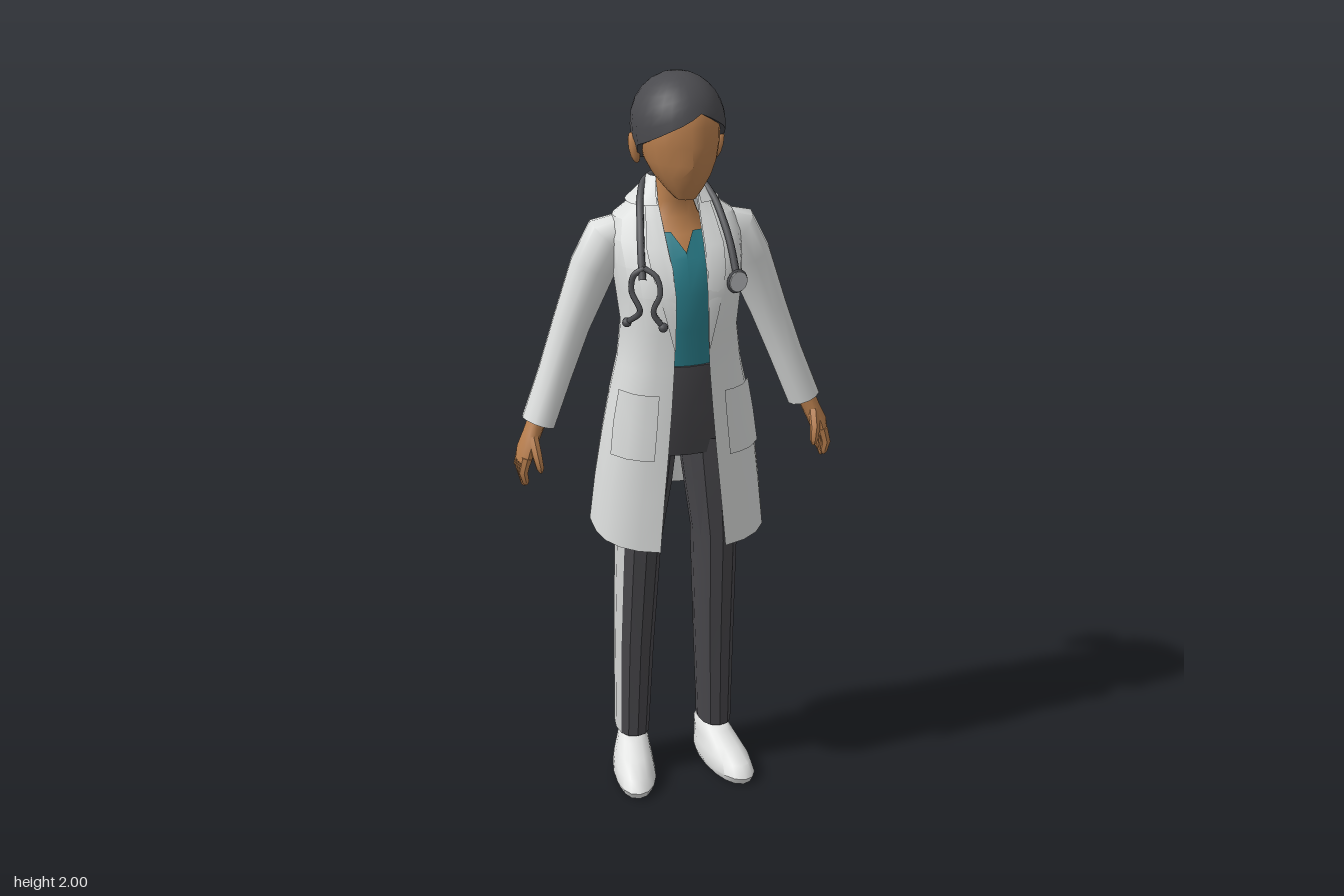
import * as THREE from 'three';
import { toCreasedNormals } from 'three/addons/utils/BufferGeometryUtils.js';

const V = (x, y, z) => new THREE.Vector3(x, y, z);
const mat = (name, color, side = THREE.FrontSide) => {
  const m = new THREE.MeshStandardMaterial({ color, side });
  m.name = name;
  return m;
};

// Skin a stack of cross-sections, listed bottom to top
function loft(rows, { closed = true, caps = closed, crease = 0.6 } = {}) {
  const n = rows[0].length, pos = [], idx = [];
  rows.forEach(r => r.forEach(p => pos.push(p.x, p.y, p.z)));
  const cols = closed ? n : n - 1;
  for (let i = 0; i < rows.length - 1; i++) {
    for (let j = 0; j < cols; j++) {
      const a = i * n + j, b = i * n + (j + 1) % n;
      idx.push(a, b, b + n, a, b + n, a + n);
    }
  }
  if (caps) [0, rows.length - 1].forEach((i, top) => {
    const c = rows[i].reduce((s, p) => s.add(p), V(0, 0, 0)).divideScalar(n);
    const k = pos.length / 3;
    pos.push(c.x, c.y, c.z);
    for (let j = 0; j < n; j++) {
      const a = i * n + j, b = i * n + (j + 1) % n;
      top ? idx.push(a, b, k) : idx.push(b, a, k);
    }
  });
  const g = new THREE.BufferGeometry();
  g.setAttribute('position', new THREE.Float32BufferAttribute(pos, 3));
  g.setIndex(idx);
  return toCreasedNormals(g, crease);
}

// Horizontal rounded section; angle 0 is the front, then round by the left
const pw = (v, p) => Math.sign(v) * Math.abs(v) ** p;
function ringPoint([y, w, zf, zb, cx = 0], a, p = 1) {
  return V(cx + w * pw(Math.sin(a), p), y, (zf + zb) / 2 + (zf - zb) / 2 * pw(Math.cos(a), p));
}
const ring = (row, n, p) => Array.from({ length: n }, (_, j) => ringPoint(row, j / n * Math.PI * 2, p));
const rings = (rows, n, p) => rows.map(r => ring(r, n, p));

// Tapered limb through stations [x, y, z, radiusSide, radiusFront], top to bottom
function limb(st, n = 10) {
  const pts = st.map(s => V(s[0], s[1], s[2]));
  const rows = st.map((s, i) => {
    const u = pts[Math.max(i - 1, 0)].clone().sub(pts[Math.min(i + 1, st.length - 1)]).normalize();
    const side = V(u.y, -u.x, 0).normalize(), front = side.clone().cross(u);
    return Array.from({ length: n }, (_, j) => {
      const a = j / n * Math.PI * 2;
      return pts[i].clone().addScaledVector(side, s[3] * Math.sin(a)).addScaledVector(front, (s[4] ?? s[3]) * Math.cos(a));
    });
  });
  return loft(rows.reverse(), { crease: 0.9 });
}

// Mirror a triangle-soup geometry across x = 0, keeping faces outward
function mirror(geo) {
  const g = geo.clone();
  for (const name of ['position', 'normal']) {
    const t = g.attributes[name], src = geo.attributes[name];
    for (let i = 0; i < t.count; i++) {
      const k = i - i % 3 + [0, 2, 1][i % 3];
      t.setXYZ(i, -src.getX(k), src.getY(k), src.getZ(k));
    }
  }
  return g;
}

// Coat sections: height, half width, front z, back z, half opening
const COAT = [
  [0.74, 0.235, 0.19, -0.165, 0.09], [0.88, 0.222, 0.183, -0.15, 0.078], [1.02, 0.205, 0.178, -0.13, 0.065],
  [1.14, 0.185, 0.174, -0.113, 0.055], [1.24, 0.163, 0.17, -0.104, 0.048], [1.34, 0.152, 0.168, -0.1, 0.044],
  [1.44, 0.165, 0.17, -0.112, 0.042], [1.51, 0.172, 0.145, -0.118, 0.044], [1.57, 0.175, 0.1, -0.117, 0.048],
  [1.62, 0.16, 0.06, -0.11, 0.05], [1.655, 0.11, 0.035, -0.098, 0.052], [1.69, 0.075, 0.015, -0.085, 0.05],
  [1.72, 0.062, -0.005, -0.072, 0.048],
];
const CP = 0.8;
function coatRow(y) {
  let i = 0;
  while (i < COAT.length - 2 && y > COAT[i + 1][0]) i++;
  const t = (y - COAT[i][0]) / (COAT[i + 1][0] - COAT[i][0]);
  return COAT[i].map((v, k) => v + (COAT[i + 1][k] - v) * t);
}
function coatAt(y, a, off = 0) {
  const [, w, zf, zb] = coatRow(y);
  const p = ringPoint([y, w + off, zf + off, zb - off], a, CP);
  p.y += 0.055 * Math.max(0, 1 - (y - 0.74) / 0.3) * (1 - Math.cos(a)) / 2;
  return p;
}
const frontAngle = (y, x) => Math.asin(Math.min(1, x / coatRow(y)[1]) ** (1 / CP));
const onCoat = (x, y, off) => {
  const p = coatAt(y, frontAngle(y, Math.abs(x)), off);
  p.x *= Math.sign(x);
  return p;
};
// Cloth patch lying on the left coat front: rows of [y, x inner, x outer]
const patch = (rows, off) => loft(rows.map(([y, x1, x2]) =>
  [0, 0.33, 0.67, 1].map(t => onCoat(x1 + (x2 - x1) * t, y, off))), { closed: false });

export function createModel() {
  const model = new THREE.Group();
  model.name = 'doctor';
  const M = {
    coat: mat('coat white', 0xdcdedd, THREE.DoubleSide),
    shirt: mat('shirt teal', 0x2b7f8c),
    pants: mat('trouser charcoal', 0x48474b),
    stripe: mat('stripe grey', 0xd2d3d2),
    shoe: mat('shoe white', 0xe2e3e2),
    skin: mat('skin', 0xb97f4e),
    hair: mat('hair', 0x4a4a4e),
    tube: mat('stethoscope tube', 0x505155),
    metal: mat('stethoscope metal', 0xc4c6c8),
  };
  const add = (name, geo, m) => {
    const mesh = new THREE.Mesh(geo, m);
    mesh.name = name;
    model.add(mesh);
    return mesh;
  };
  const pair = (name, geo, m) => {
    add(name + 'Left', geo, m);
    add(name + 'Right', mirror(geo), m);
  };

  // Head with a small nose ridge, ears, neck and upper chest
  const headRows = [
    [1.69, 0.028, 0.132, 0.06, 0], [1.715, 0.05, 0.145, 0.01, 0], [1.75, 0.076, 0.155, -0.04, 0.002],
    [1.785, 0.093, 0.158, -0.07, 0.016], [1.83, 0.102, 0.16, -0.09, 0.008], [1.88, 0.104, 0.16, -0.095, 0],
    [1.93, 0.088, 0.138, -0.08, 0], [1.97, 0.05, 0.08, -0.03, 0],
  ];
  add('head', loft(headRows.map(([y, w, zf, zb, nose]) => {
    const r = ring([y, w, zf, zb], 20, 0.92);
    r[0].z += nose;
    return r;
  }), { crease: 1 }), M.skin);
  const ear = new THREE.SphereGeometry(1, 8, 6).toNonIndexed();
  ear.scale(0.014, 0.042, 0.024).rotateZ(-0.2).translate(0.112, 1.805, 0.012);
  pair('ear', ear, M.skin);
  add('neckAndChest', loft(rings([
    [1.44, 0.1, 0.13, -0.06], [1.52, 0.1, 0.112, -0.06], [1.58, 0.09, 0.066, -0.065], [1.62, 0.065, 0.038, -0.062],
    [1.66, 0.05, 0.03, -0.056], [1.78, 0.048, 0.05, -0.05]], 16), { crease: 1 }), M.skin);

  // Hair cap: parted hairline, turned in at the lower edge
  const line = [[0, 1.918], [40, 1.875], [70, 1.838], [85, 1.825], [100, 1.78], [130, 1.765], [180, 1.755]];
  const hairline = a => {
    const d = Math.abs(THREE.MathUtils.euclideanModulo(a * 180 / Math.PI - 14 * (1 + Math.cos(a)) / 2 + 180, 360) - 180);
    const i = Math.max(1, line.findIndex(l => l[0] >= d));
    return THREE.MathUtils.mapLinear(d, line[i - 1][0], line[i][0], line[i - 1][1], line[i][1]);
  };
  const hairRows = [];
  for (let i = -1; i <= 8; i++) {
    hairRows.push(Array.from({ length: 28 }, (_, j) => {
      const a = j / 28 * Math.PI * 2, yb = hairline(a) - 1.87;
      const th = Math.acos(yb / (yb > 0 ? 0.13 : 0.18)) * (1 - Math.max(i, 0) / 8.3);
      const c = Math.cos(th), s = Math.sin(th) * (i < 0 ? 0.86 : 1);
      return V(0.121 * s * Math.sin(a), 1.87 + c * (c > 0 ? 0.13 : 0.18), 0.025 + 0.146 * s * Math.cos(a));
    }));
  }
  add('hair', loft(hairRows, { crease: 0.8 }), M.hair);
  add('ponytail', limb([[0.015, 1.835, -0.09, 0.024], [0.035, 1.8, -0.13, 0.03], [0.06, 1.75, -0.158, 0.038],
    [0.08, 1.68, -0.166, 0.04], [0.095, 1.61, -0.176, 0.03], [0.1, 1.54, -0.187, 0.005]], 12), M.hair);

  // Shirt with a V neck
  const shirt = rings([[1.2, 0.14, 0.138, -0.08], [1.34, 0.13, 0.138, -0.08], [1.44, 0.14, 0.148, -0.09],
    [1.53, 0.135, 0.119, -0.09], [1.59, 0.115, 0.068, -0.085]], 24);
  shirt[4][0].set(0, 1.545, 0.111);
  add('shirt', loft(shirt, { caps: false }), M.shirt);

  // Trousers: hips, then legs split into cloth and side stripe
  add('hips', loft(rings([[0.99, 0.15, 0.125, -0.09], [1.12, 0.16, 0.145, -0.1], [1.245, 0.145, 0.145, -0.09]], 16, 0.9)), M.pants);
  const leg = rings([[0.12, 0.045, 0.045, -0.095, 0.12], [0.4, 0.052, 0.065, -0.095, 0.115], [0.6, 0.056, 0.09, -0.092, 0.11],
    [0.72, 0.058, 0.106, -0.09, 0.107], [0.9, 0.073, 0.125, -0.092, 0.094], [1.03, 0.08, 0.13, -0.095, 0.085]], 12, 0.85);
  const open = { closed: false, crease: 0.45 };
  pair('trouserLeg', loft(leg.map(r => [...r.slice(4), ...r.slice(0, 3)]), open), M.pants);
  pair('legStripe', loft(leg.map(r => r.slice(2, 5)), open), M.stripe);
  pair('trouserHem', loft([leg[0].map(p => p.clone().lerp(V(0.12, 0.125, -0.025), 0.3)), leg[0]], { caps: false }), M.pants);

  // Ankles and slightly turned-out shoes
  pair('ankle', limb([[0.12, 0.2, -0.035, 0.034], [0.12, 0.05, -0.045, 0.034]]), M.skin);
  const shoe = rings([[0, 0.052, 0.18, -0.09, 0.125], [0.02, 0.06, 0.192, -0.1, 0.125], [0.05, 0.055, 0.168, -0.102, 0.125],
    [0.075, 0.048, 0.11, -0.1, 0.123], [0.1, 0.042, 0.05, -0.098, 0.12], [0.112, 0.036, 0.03, -0.09, 0.12]], 16, 0.9);
  shoe.forEach(r => r.forEach(p => { p.x += p.z * 0.14; }));
  pair('shoe', loft(shoe, { crease: 0.8 }), M.shoe);

  // Open coat with collar, lapels and pockets
  const around = (y, off = 0) => {
    const a0 = frontAngle(y, coatRow(y)[4]);
    return Array.from({ length: 21 }, (_, j) => coatAt(y, a0 + (Math.PI - a0) * 2 * j / 20, off));
  };
  add('coat', loft(COAT.map(r => around(r[0])), open), M.coat);
  add('collar', loft([around(1.655, 0.014), around(1.69, 0.01), around(1.72, 0.001)], open), M.coat);
  pair('lapel', patch([[1.3, 0.044, 0.046], [1.4, 0.042, 0.07], [1.5, 0.044, 0.095], [1.56, 0.048, 0.1],
    [1.62, 0.05, 0.09], [1.67, 0.051, 0.08]], 0.006), M.coat);
  pair('pocket', patch([[1, 0.1, 0.196], [1.003, 0.1, 0.196], [1.09, 0.092, 0.186], [1.18, 0.085, 0.17]], 0.007), M.coat);

  // Sleeves
  pair('sleeve', limb([[0.12, 1.57, -0.035, 0.055, 0.06], [0.172, 1.555, -0.037, 0.068, 0.068], [0.213, 1.48, -0.04, 0.062, 0.064],
    [0.272, 1.33, -0.042, 0.051, 0.056], [0.32, 1.2, -0.033, 0.046, 0.054], [0.371, 1.068, -0.022, 0.045, 0.055]], 12), M.coat);

  // Hands: palm, four fingers and a thumb
  pair('palm', limb([[0.368, 1.09, -0.02, 0.026, 0.03], [0.39, 1.04, -0.015, 0.024, 0.034],
    [0.408, 1.0, -0.01, 0.024, 0.043], [0.416, 0.968, -0.01, 0.02, 0.043]]), M.skin);
  [-0.043, -0.021, 0.001, 0.023].forEach((z, i) => {
    const tip = [0.925, 0.908, 0.9, 0.91][i];
    pair('finger' + (i + 1), limb([[0.414, 0.985, z, 0.014, 0.012], [0.424, 0.945, z, 0.013, 0.011],
      [0.418, tip + 0.008, z, 0.01, 0.009], [0.416, tip, z, 0.004]], 6), M.skin);
  });
  pair('thumb', limb([[0.392, 1.035, 0.008, 0.015], [0.388, 0.995, 0.034, 0.014], [0.382, 0.96, 0.044, 0.011], [0.38, 0.948, 0.045, 0.004]], 6), M.skin);

  // Stethoscope: neck tube, two bowed ear tubes with tips, and chest piece
  const tube = (name, pts, r, m) => add(name, new THREE.TubeGeometry(new THREE.CatmullRomCurve3(pts), 40, r, 6), m);
  const drape = s => [[0.115, 1.49], [0.11, 1.56], [0.1, 1.62], [0.085, 1.665]].map(([x, y]) => onCoat(s * x, y, 0.015));
  tube('stethoscopeTube', [...drape(1), V(0.068, 1.705, -0.045), V(0, 1.715, -0.088), V(-0.068, 1.705, -0.045),
    ...drape(-1).reverse()], 0.01, M.tube);
  [-1, 1].forEach(s => {
    const pts = [[0, 1.52], [0.024, 1.5], [0.03, 1.46], [0.014, 1.41], [0.036, 1.37]]
      .map(([x, y]) => onCoat(-0.108 + s * x, y, 0.016));
    tube('earTube', pts, 0.008, M.tube);
    const tip = add('earTip', new THREE.SphereGeometry(0.013, 8, 6), M.tube);
    tip.position.copy(pts[4]);
  });
  const disc = add('chestPiece', new THREE.CylinderGeometry(0.027, 0.027, 0.016, 16), M.metal);
  disc.position.copy(onCoat(0.117, 1.468, 0.014));
  disc.rotation.set(Math.PI / 2, 0, -0.3);
  const rim = add('chestPieceRim', new THREE.TorusGeometry(0.027, 0.005, 6, 20), M.tube);
  rim.position.copy(disc.position);
  rim.rotation.y = 0.3;
  return model;
}
